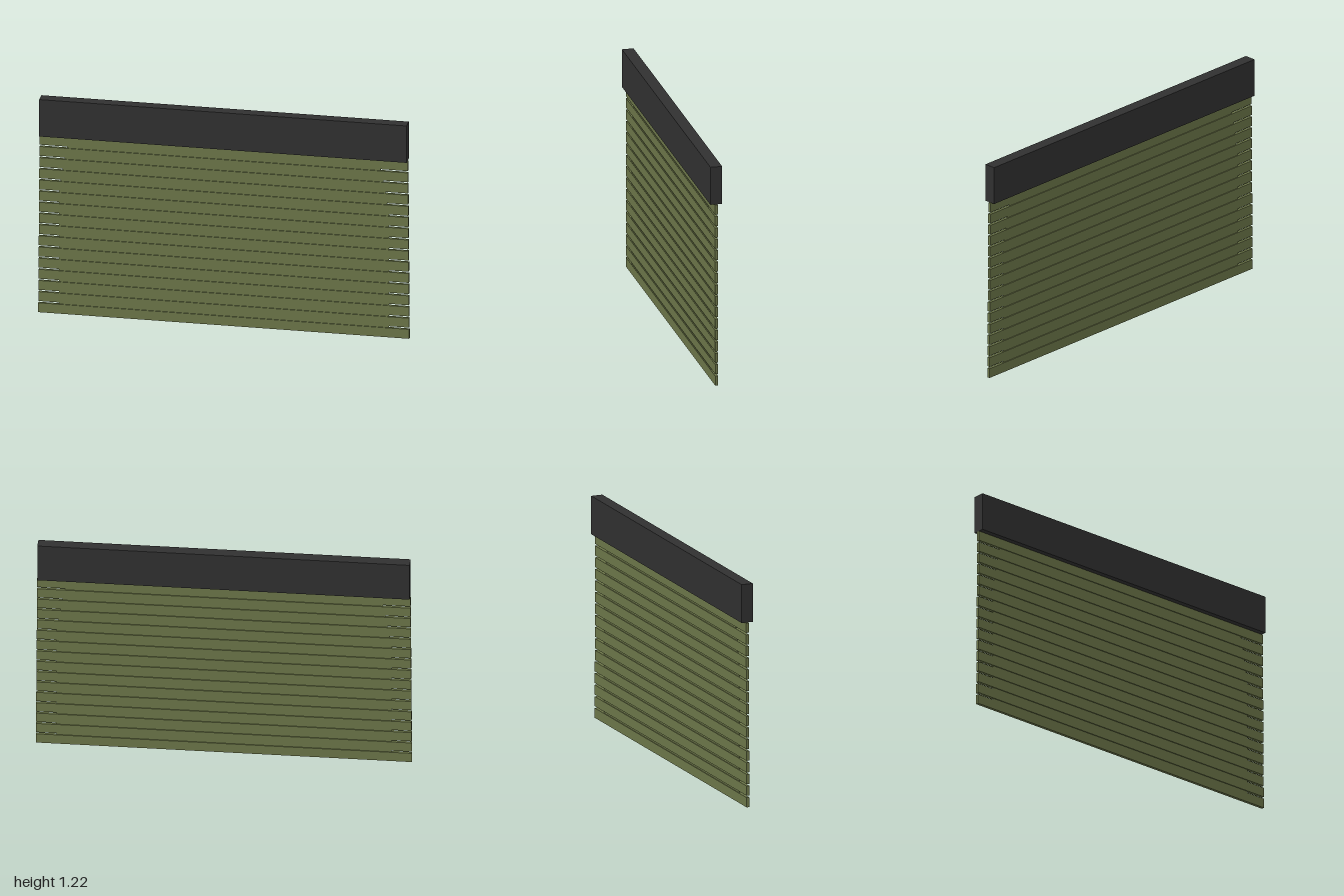
import * as THREE from 'three';

export function createModel() {
  const group = new THREE.Group();
  const green = new THREE.MeshStandardMaterial({ color: 0x6b7548 });
  const dark = new THREE.MeshStandardMaterial({ color: 0x303030 });

  const addBox = (name, width, height, depth, bottom, material) => {
    const mesh = new THREE.Mesh(new THREE.BoxGeometry(width, height, depth), material);
    mesh.name = name;
    mesh.position.y = bottom + height / 2;
    group.add(mesh);
  };

  // Housing across the top
  addBox('housing', 1.98, 0.21, 0.064, 1.01, dark);

  // Slats, with thin recessed webs that stop short of the slat ends
  const count = 16, pitch = 0.0636, slatHeight = 0.053;
  const upperWebs = [0.845, 0.86, 0.87, 0.88];
  for (let i = 0; i < count; i++) {
    const y = i * pitch;
    const halfWidth = 1 - 0.007 * i / (count - 1);
    addBox('slat', 2 * halfWidth, slatHeight, 0.016, y, green);
    if (i < count - 1) {
      const halfWeb = upperWebs[count - 2 - i] ?? 0.89;
      addBox('web', 2 * halfWeb, pitch - slatHeight, 0.006, y + slatHeight, green);
    }
  }
  return group;
}
